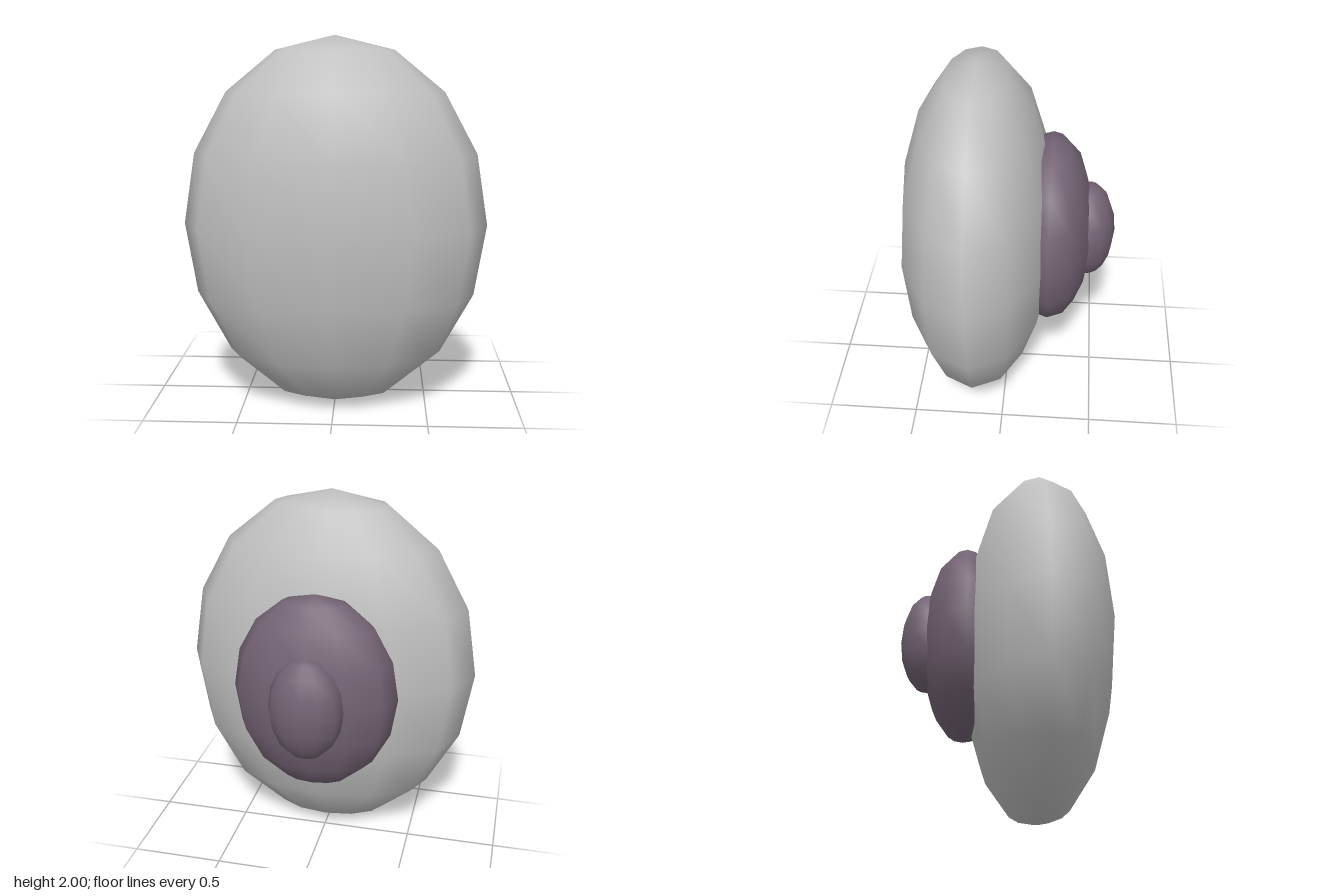
import * as THREE from 'three';

export function createModel() {
  const model = new THREE.Group();
  const grey = new THREE.MeshStandardMaterial({ color: 0xbfbfbf });
  grey.name = 'light grey';
  const purple = new THREE.MeshStandardMaterial({ color: 0x736373 });
  purple.name = 'dusky purple';

  // Low-segment smooth ellipsoid with its poles along y
  function ellipsoid(name, material, radii, z) {
    const geometry = new THREE.SphereGeometry(1, 12, 8);
    geometry.scale(...radii);
    const mesh = new THREE.Mesh(geometry, material);
    mesh.name = name;
    mesh.position.set(0, 1, z);
    model.add(mesh);
  }

  // Large body, with a dome and a small tip stacked towards the back
  ellipsoid('body', grey, [0.815, 1, 0.427], 0.16);
  ellipsoid('dome', purple, [0.447, 0.553, 0.238], -0.235);
  ellipsoid('tip', purple, [0.2, 0.283, 0.145], -0.442);

  return model;
}
